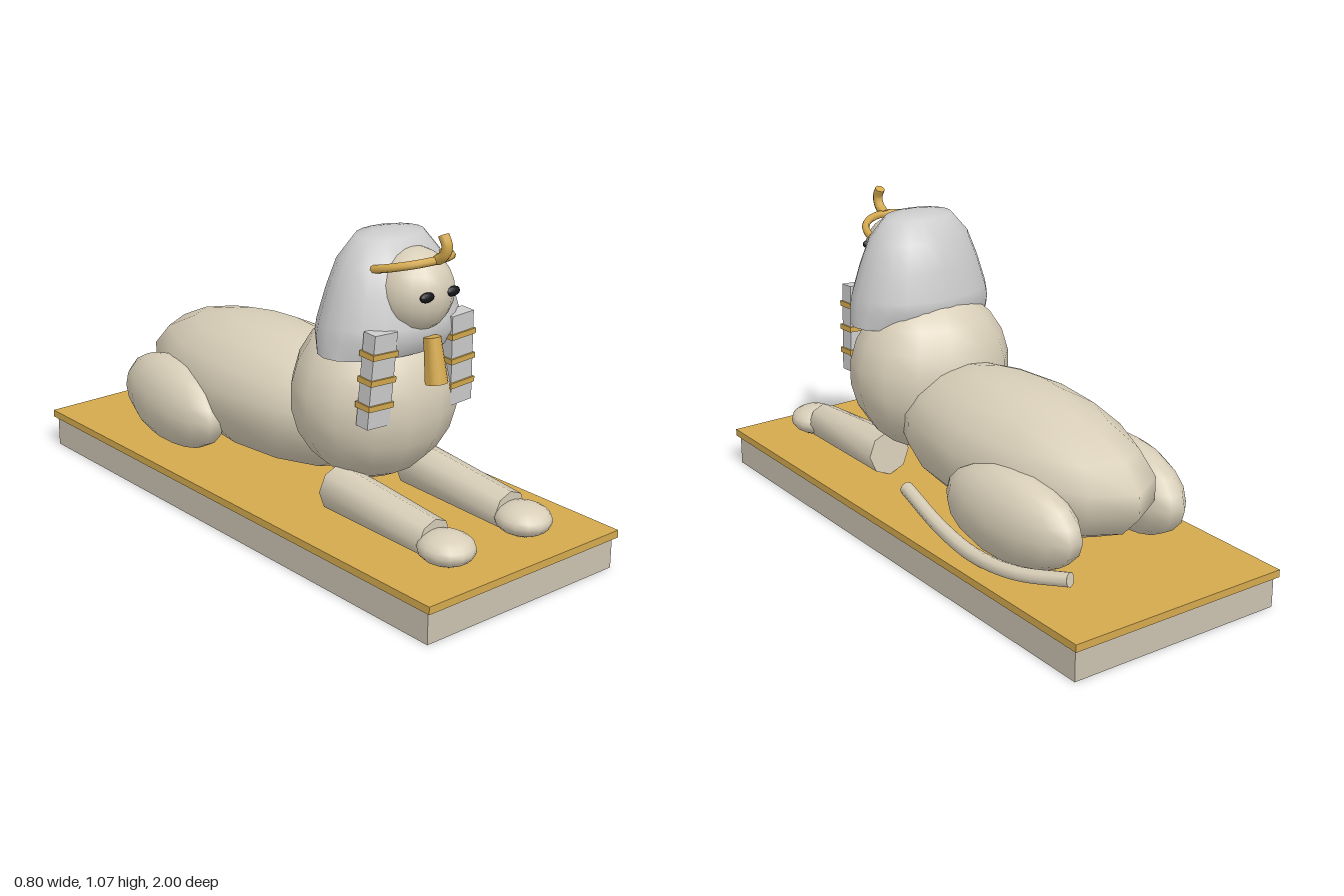
import * as THREE from 'three';
import { toCreasedNormals } from 'three/addons/utils/BufferGeometryUtils.js';

const stone = new THREE.MeshStandardMaterial({ color: 0xd8ceb8 });
const gold = new THREE.MeshStandardMaterial({ color: 0xd4a94e });
const grey = new THREE.MeshStandardMaterial({ color: 0xcccccc });
const dark = new THREE.MeshStandardMaterial({ color: 0x16161a });
const plinthMat = new THREE.MeshStandardMaterial({ color: 0xcac2b0 });

const V = (x, y, z) => new THREE.Vector3(x, y, z);

export function createModel() {
  const model = new THREE.Group();

  function add(name, geometry, material, pos = [0, 0, 0], parent = model) {
    const mesh = new THREE.Mesh(geometry, material);
    mesh.name = name;
    mesh.position.set(...pos);
    parent.add(mesh);
    return mesh;
  }

  function ellipsoid(name, pos, radii, material, w = 16, h = 12) {
    return add(name, new THREE.SphereGeometry(1, w, h).scale(...radii), material, pos);
  }

  // Straight tapered limb from a to b
  function limb(name, a, b, ra, rb, sides, material) {
    const g = toCreasedNormals(new THREE.CylinderGeometry(rb, ra, a.distanceTo(b), sides), 1);
    const mesh = add(name, g, material, a.clone().lerp(b, 0.5).toArray());
    mesh.quaternion.setFromUnitVectors(V(0, 1, 0), b.clone().sub(a).normalize());
    return mesh;
  }

  // Tube with flat end caps
  function cappedTube(name, points, radius, segments, sides, material) {
    const curve = new THREE.CatmullRomCurve3(points);
    const tube = add(name, new THREE.TubeGeometry(curve, segments, radius, sides), material);
    for (const t of [0, 1]) {
      const cap = add(name + 'End', new THREE.CircleGeometry(radius, sides), material,
        curve.getPoint(t).toArray(), tube);
      cap.quaternion.setFromUnitVectors(V(0, 0, 1), curve.getTangent(t).multiplyScalar(t ? 1 : -1));
    }
  }

  // Plinth
  add('plinth', new THREE.BoxGeometry(0.78, 0.105, 1.97), plinthMat, [0, 0.0525, 0]);
  add('plinthTop', new THREE.BoxGeometry(0.8, 0.025, 2), gold, [0, 0.1175, 0]);

  // Body and chest
  ellipsoid('body', [0, 0.37, -0.2], [0.27, 0.23, 0.605], stone, 12, 9);
  ellipsoid('chest', [0, 0.495, 0.31], [0.285, 0.285, 0.25], stone, 14, 11);

  // Head and eyes
  ellipsoid('head', [0, 0.865, 0.478], [0.127, 0.133, 0.13], stone);
  for (const s of [-1, 1]) {
    ellipsoid('eye', [s * 0.053, 0.875, 0.597], [0.028, 0.016, 0.012], dark, 12, 8);
  }

  // Headdress: flattened lathe whose hem tucks in at front and back
  const profile = [[0, 0.67], [0.262, 0.67], [0.255, 0.725], [0.248, 0.765], [0.218, 0.86],
    [0.182, 0.95], [0.12, 1.022], [0.06, 1.032], [0, 1.035]].map(p => new THREE.Vector2(...p));
  const hood = new THREE.LatheGeometry(profile, 20);
  const hp = hood.attributes.position;
  for (let i = 0; i < hp.count; i++) {
    hp.setZ(i, hp.getZ(i) * (hp.getY(i) < 0.7 ? 0.56 : 0.73));
  }
  add('headdress', toCreasedNormals(hood, 0.9), grey, [0, 0, 0.37]);

  // Lappets with gold bands
  for (const s of [-1, 1]) {
    const lappet = new THREE.Group();
    lappet.name = 'lappet';
    lappet.position.set(s * 0.166, 0.62, 0.505);
    lappet.rotation.set(0.05, 0, s * 0.05);
    model.add(lappet);
    add('lappetCloth', new THREE.BoxGeometry(0.09, 0.3, 0.052), grey, [0, 0, 0], lappet);
    for (const y of [0.082, 0, -0.082]) {
      add('lappetBand', new THREE.BoxGeometry(0.101, 0.018, 0.064), gold, [0, y, 0], lappet);
    }
  }

  // Beard
  limb('beard', V(0, 0.592, 0.592), V(0, 0.735, 0.568), 0.036, 0.027, 14, gold);

  // Diadem and the curl rising from its front
  const band = add('diadem', new THREE.TorusGeometry(0.136, 0.013, 8, 20, Math.PI), gold, [0, 0.945, 0.45]);
  band.rotation.x = Math.PI / 2 - 0.24;
  cappedTube('diademCurl', [V(0, 0.978, 0.582), V(0, 1.0, 0.613), V(0, 1.03, 0.622), V(0, 1.06, 0.606)],
    0.017, 10, 8, gold);

  // Legs and paws
  for (const s of [-1, 1]) {
    limb('frontLeg', V(s * 0.163, 0.207, 0.325), V(s * 0.16, 0.185, 0.765), 0.079, 0.064, 8, stone);
    ellipsoid('frontPaw', [s * 0.163, 0.177, 0.82], [0.088, 0.05, 0.095], stone, 14, 10);
    const haunch = ellipsoid('haunch', [s * 0.228, 0.285, -0.47], [0.112, 0.152, 0.29], stone, 14, 10);
    haunch.rotation.y = s * 0.1;
  }

  // Tail curling along the left side
  cappedTube('tail', [V(0.235, 0.188, -0.765), V(0.305, 0.163, -0.6), V(0.33, 0.155, -0.42),
    V(0.318, 0.168, -0.22), V(0.277, 0.203, 0.045)], 0.024, 20, 8, stone);

  return model;
}
